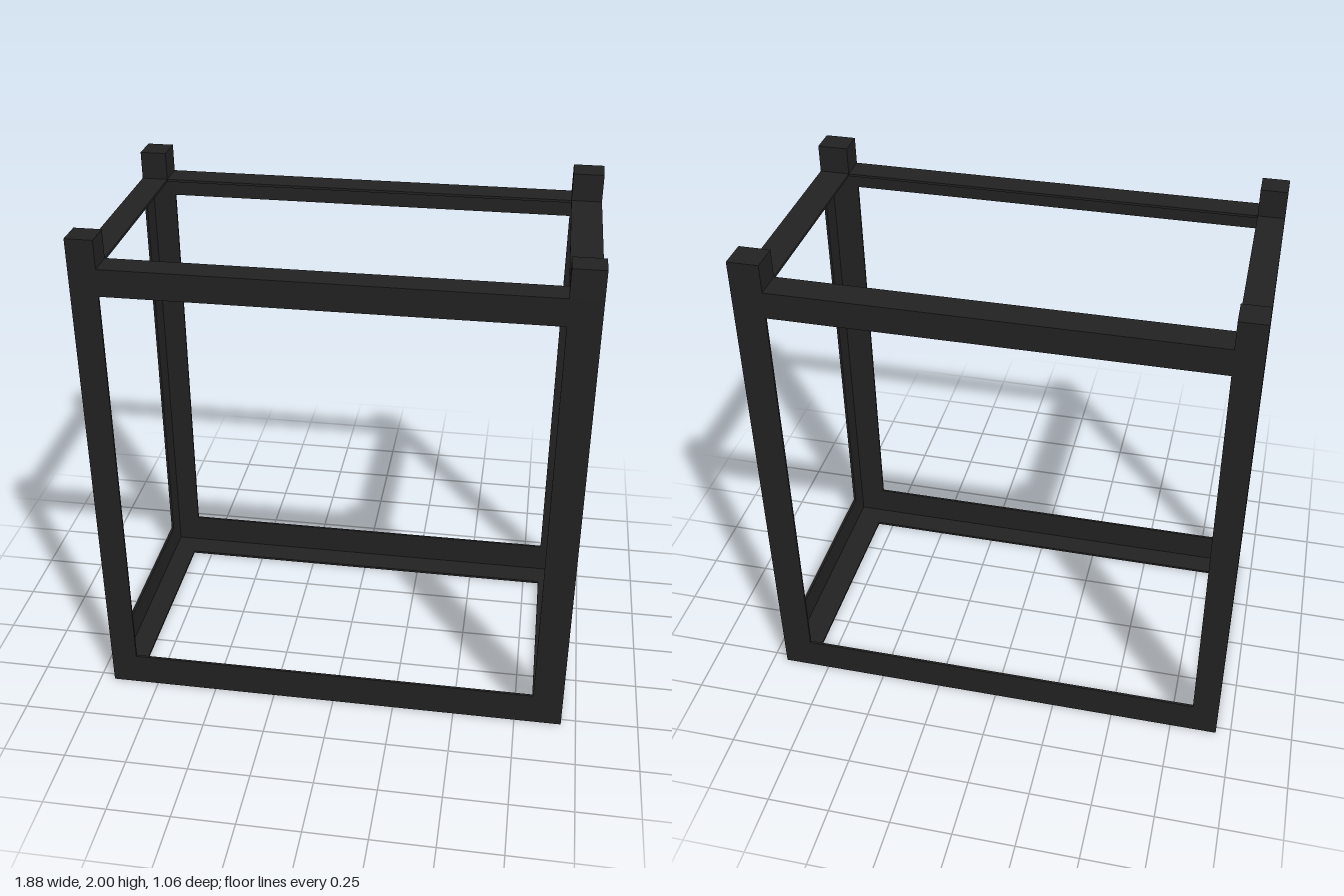
import * as THREE from 'three';

const T = 0.01; // thickness of the angle iron
const H = 2, X = 0.94, Z = 0.53;
const TOP = [1.785, 1.89], BASE = 0.135;
// inner limits of the flanges on each side
const IN = { left: 0.82, right: -0.835, front: 0.425, back: -0.415 };

export function createModel() {
  const model = new THREE.Group();
  const material = new THREE.MeshStandardMaterial({ color: 0x222222, flatShading: true });

  const group = (name) => {
    const g = new THREE.Group();
    g.name = name;
    model.add(g);
    return g;
  };

  // box between two limits on each axis, in any order
  const box = (parent, name, [x0, x1], [y0, y1], [z0, z1]) => {
    const geo = new THREE.BoxGeometry(Math.abs(x1 - x0), Math.abs(y1 - y0), Math.abs(z1 - z0));
    geo.translate((x0 + x1) / 2, (y0 + y1) / 2, (z0 + z1) / 2);
    const mesh = new THREE.Mesh(geo, material);
    mesh.name = name;
    parent.add(mesh);
  };

  // corner posts: an L section below, a closed square block on top
  for (const side of ['left', 'right']) {
    for (const end of ['front', 'back']) {
      const sx = side === 'left' ? 1 : -1, sz = end === 'front' ? 1 : -1;
      const x = [sx * X, IN[side]], z = [sz * Z, IN[end]];
      const post = group(`${end}${side}Post`);
      box(post, 'sideFlange', [sx * X, sx * (X - T)], [0, TOP[1]], z);
      box(post, 'endFlange', [sx * (X - T), IN[side]], [0, TOP[1]], [sz * Z, sz * (Z - T)]);
      box(post, 'postHead', x, [TOP[1] - T, H], z);
    }
  }

  // rails: upright flange outside, flat flange at the top (upper) or bottom (lower)
  const levels = [
    { name: 'upper', web: TOP, flat: [TOP[1] - T, TOP[1]] },
    { name: 'lower', web: [0, BASE], flat: [0, T] },
  ];
  for (const { name, web, flat } of levels) {
    const spanX = [IN.right, IN.left], spanZ = [IN.back, IN.front];
    // the lower flat flanges also close the corners
    const flatX = name === 'lower' ? [-X + T, X - T] : spanX;
    for (const [end, s] of [['front', 1], ['back', -1]]) {
      const rail = group(`${name}${end}Rail`);
      box(rail, 'uprightFlange', spanX, web, [s * Z, s * (Z - T)]);
      box(rail, 'flatFlange', flatX, flat, [s * (Z - T), IN[end]]);
    }
    for (const [side, s] of [['left', 1], ['right', -1]]) {
      const rail = group(`${name}${side}Rail`);
      box(rail, 'uprightFlange', [s * X, s * (X - T)], web, spanZ);
      box(rail, 'flatFlange', [s * (X - T), IN[side]], flat, spanZ);
    }
  }
  return model;
}
